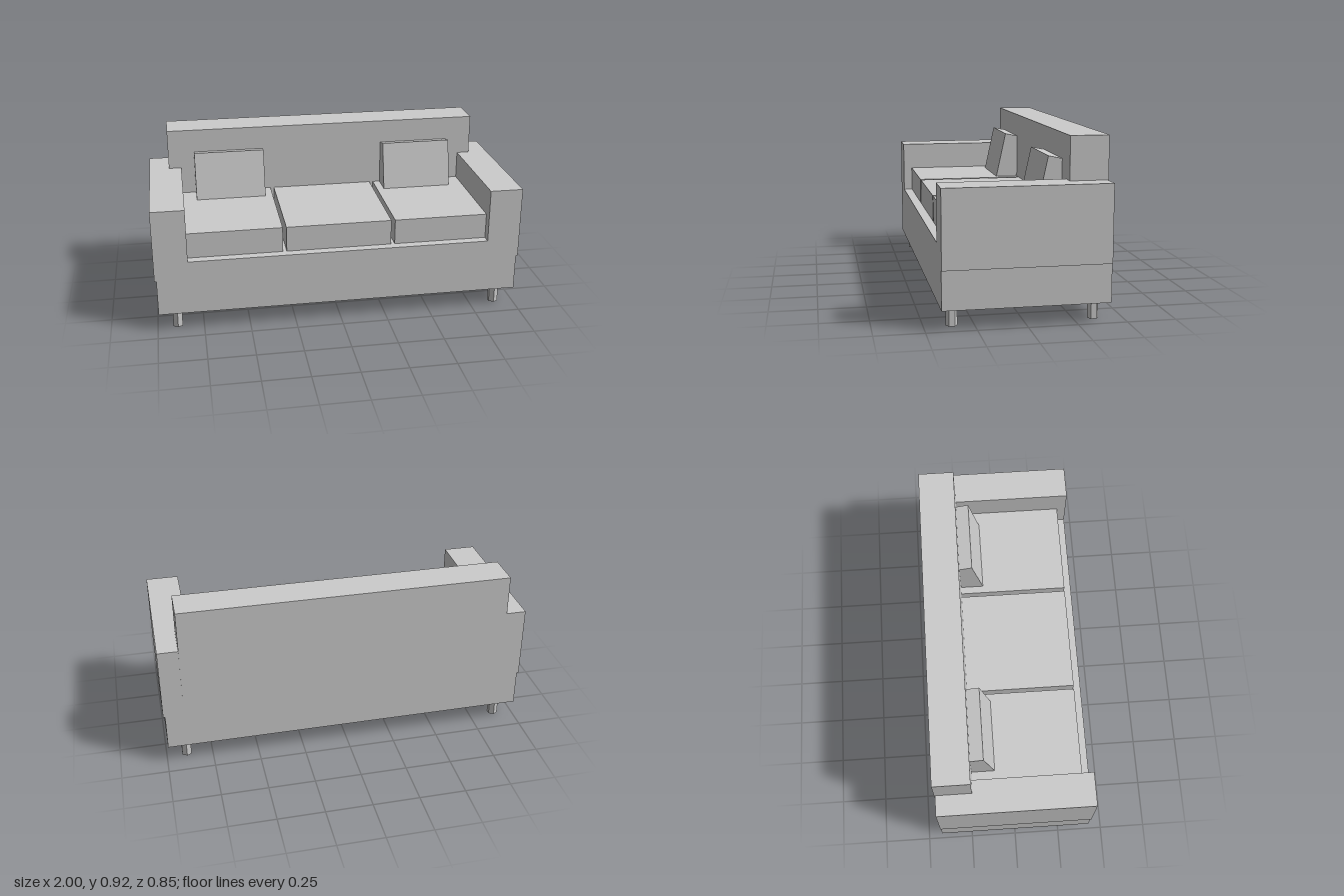
import * as THREE from 'three';

export function createModel() {
  const sofa = new THREE.Group();
  sofa.name = 'sofa';

  const grey = new THREE.MeshStandardMaterial({ color: 0xcccccc, flatShading: true });
  grey.name = 'grey';

  // Box given by its minimum and maximum along each axis
  function box(name, [x0, x1], [y0, y1], [z0, z1]) {
    const mesh = new THREE.Mesh(new THREE.BoxGeometry(x1 - x0, y1 - y0, z1 - z0), grey);
    mesh.name = name;
    mesh.position.set((x0 + x1) / 2, (y0 + y1) / 2, (z0 + z1) / 2);
    sofa.add(mesh);
    return mesh;
  }

  // Frame and backrest
  box('base', [-0.99, 0.99], [0.1, 0.4], [-0.419, 0.422]);
  box('backrest', [-0.89, 0.89], [0.372, 0.916], [-0.423, -0.226]);

  // Armrests, slightly wider than the base
  box('leftArmrest', [0.82, 1], [0.298, 0.694], [-0.419, 0.422]);
  box('rightArmrest', [-1, -0.82], [0.298, 0.694], [-0.419, 0.422]);

  // Three seat cushions with narrow gaps
  const cushions = { rightSeatCushion: [-0.82, -0.309], middleSeatCushion: [-0.289, 0.285], leftSeatCushion: [0.306, 0.82] };
  for (const [name, span] of Object.entries(cushions)) {
    box(name, span, [0.4, 0.54], [-0.23, 0.372]);
  }

  // Throw pillows leaning on the backrest, top front edge as pivot
  const tilt = THREE.MathUtils.degToRad(-12.2);
  for (const [name, x] of [['rightPillow', -0.547], ['leftPillow', 0.543]]) {
    const geometry = new THREE.BoxGeometry(0.393, 0.32, 0.12).translate(0, -0.16, -0.06);
    const pillow = new THREE.Mesh(geometry, grey);
    pillow.name = name;
    pillow.position.set(x, 0.801, -0.155);
    pillow.rotation.x = tilt;
    sofa.add(pillow);
  }

  // Six-sided legs
  const legGeometry = new THREE.CylinderGeometry(0.029, 0.029, 0.102, 6);
  for (const x of [-0.891, 0.891]) {
    for (const z of [-0.352, 0.361]) {
      const leg = new THREE.Mesh(legGeometry, grey);
      leg.name = (z > 0 ? 'front' : 'back') + (x > 0 ? 'Left' : 'Right') + 'Leg';
      leg.position.set(x, 0.051, z);
      sofa.add(leg);
    }
  }

  return sofa;
}
